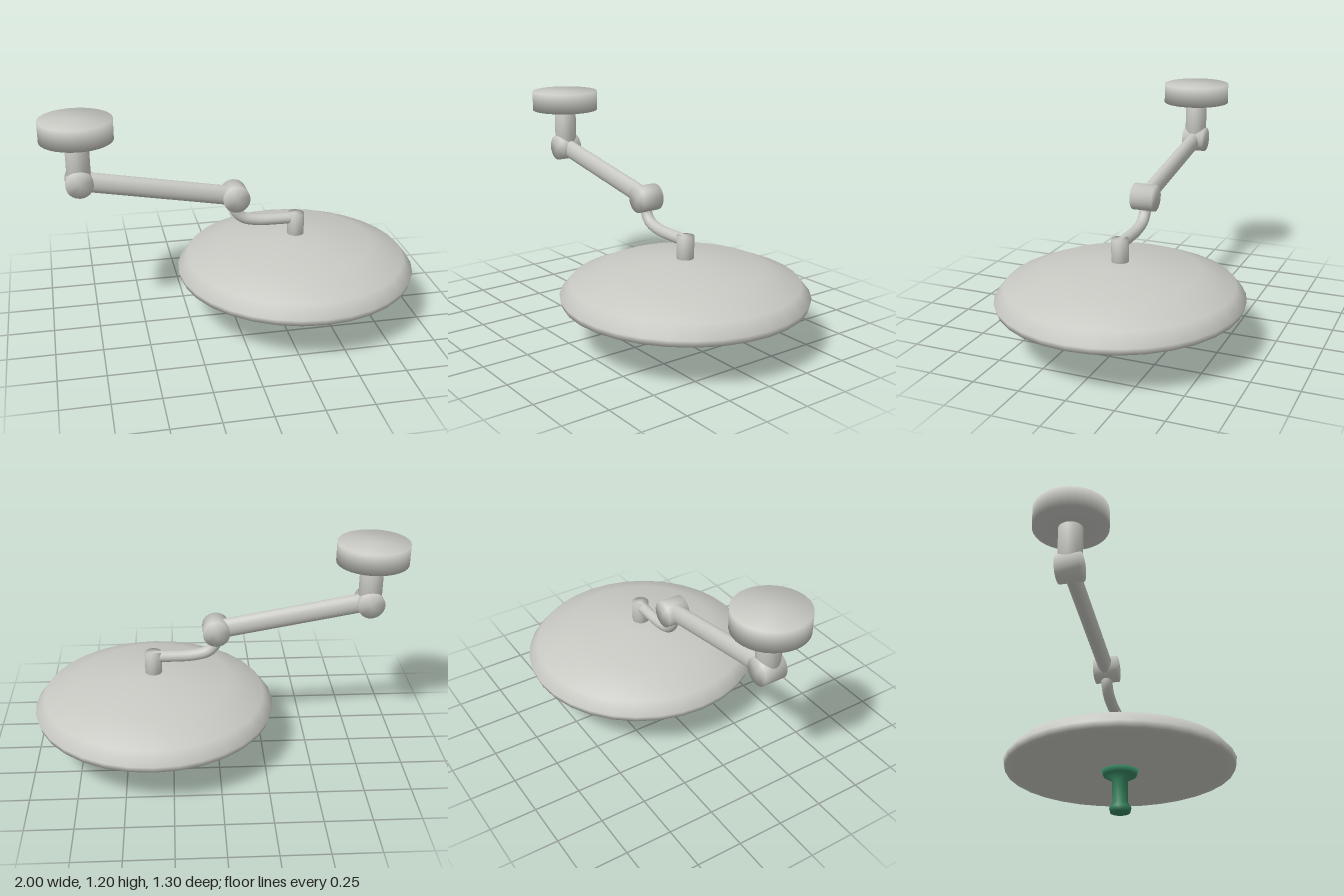
import * as THREE from 'three';

export function createModel() {
  const grey = new THREE.MeshStandardMaterial({ color: 0xc8c8c3 });
  grey.name = 'pale grey';
  const green = new THREE.MeshStandardMaterial({ color: 0x36845f });
  green.name = 'green';

  const model = new THREE.Group();
  model.name = 'ceilingLamp';

  function add(name, geometry, material, x = 0, y = 0, z = 0) {
    const mesh = new THREE.Mesh(geometry, material);
    mesh.name = name;
    mesh.position.set(x, y, z);
    model.add(mesh);
    return mesh;
  }

  // Smooth turned solid; profile pairs are [radius, height], from bottom to top
  const turned = (profile, sides = 32) =>
    new THREE.LatheGeometry(profile.map(([r, y]) => new THREE.Vector2(r, y)), sides);
  const drum = (r, y0, y1, sides) => turned([[0, y0], [r, y0], [r, y1], [0, y1]], sides);

  const mountX = -0.81, lampX = 0.348;
  const upperJoint = new THREE.Vector2(mountX, 0.865);
  const lowerJoint = new THREE.Vector2(0.008, 0.717);

  // Ceiling mount
  add('ceilingPlate', drum(0.19, 1.09, 1.2), grey, mountX);
  add('stem', drum(0.062, 0.865, 1.1, 24), grey, mountX);

  // Pivot drums lying along z
  for (const [name, p] of [['upperJoint', upperJoint], ['lowerJoint', lowerJoint]]) {
    add(name, drum(0.072, -0.062, 0.062, 24), grey, p.x, p.y).rotation.x = Math.PI / 2;
  }

  // Oval arm between the pivots
  const span = lowerJoint.clone().sub(upperJoint);
  const half = span.length() / 2;
  const arm = add('arm', drum(0.053, -half, half, 24), grey,
    (upperJoint.x + lowerJoint.x) / 2, (upperJoint.y + lowerJoint.y) / 2);
  arm.rotation.z = span.angle() - Math.PI / 2;
  arm.scale.z = 0.72;

  // Bent tube from the lower pivot to the socket
  const bend = new THREE.CatmullRomCurve3([
    [0.005, 0.68], [0.01, 0.635], [0.05, 0.59], [0.13, 0.568], [0.24, 0.563], [0.35, 0.563],
  ].map(([x, y]) => new THREE.Vector3(x, y, 0)));
  add('bentTube', new THREE.TubeGeometry(bend, 24, 0.031, 16), grey);
  add('socket', drum(0.046, 0.45, 0.59, 20), grey, lampX);

  // Shallow lamp head with a flat underside
  add('shade', turned([
    [0.6, 0.25], [0.642, 0.25], [0.652, 0.285], [0.6, 0.35], [0.42, 0.425], [0.13, 0.47], [0, 0.47],
  ]), grey, lampX);
  add('underside', new THREE.CircleGeometry(0.6, 32), grey, lampX, 0.25).rotation.x = Math.PI / 2;

  // Grip below the lamp head
  add('handle', turned([
    [0, 0], [0.055, 0.008], [0.062, 0.035], [0.042, 0.065], [0.046, 0.195],
    [0.092, 0.22], [0.105, 0.252], [0, 0.252],
  ], 24), green, lampX);

  return model;
}
